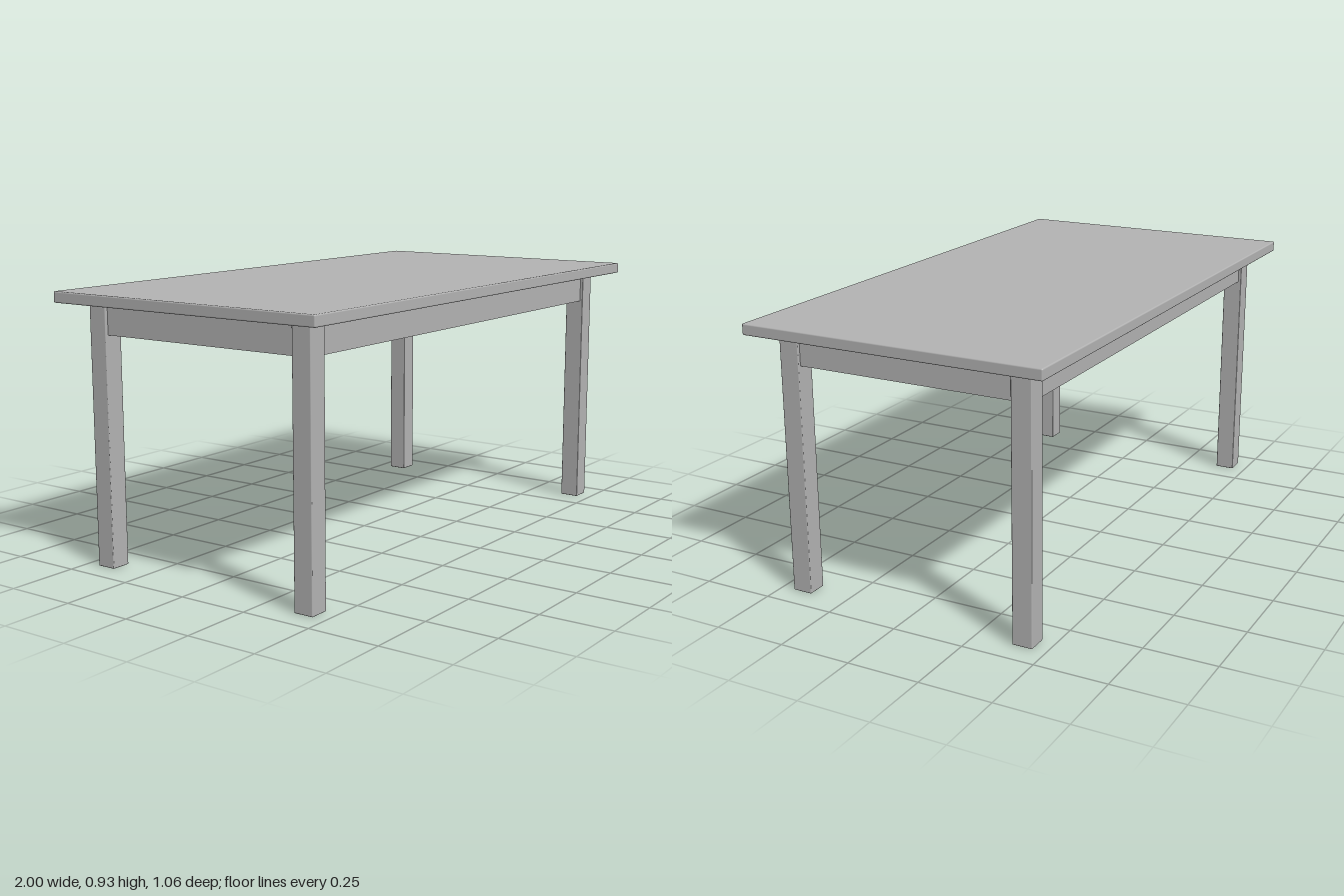
import * as THREE from 'three';
import { RoundedBoxGeometry } from 'three/addons/geometries/RoundedBoxGeometry.js';

export function createModel() {
  const table = new THREE.Group();
  table.name = 'table';
  const grey = new THREE.MeshStandardMaterial({ color: 0xb2b2b2 });
  grey.name = 'grey';

  const add = (name, geometry, x, y, z) => {
    const mesh = new THREE.Mesh(geometry, grey);
    mesh.name = name;
    mesh.position.set(x, y, z);
    table.add(mesh);
  };

  const under = 0.896, topThick = 0.038; // underside height and thickness of the top
  const legX = 0.883, legZ = 0.418, legSize = 0.07;
  const apronHeight = 0.105, apronThick = 0.026, inset = 0.011;

  // Top slab with softened edges
  add('tableTop', new RoundedBoxGeometry(2, topThick, 1.064, 2, 0.005), 0, under + topThick / 2, 0);

  // Four square legs
  const leg = new RoundedBoxGeometry(legSize, under, legSize, 2, 0.003);
  for (const [sx, side] of [[1, 'left'], [-1, 'right']])
    for (const [sz, end] of [[1, 'front'], [-1, 'back']])
      add(`${end}Leg_${side}`, leg, sx * legX, under / 2, sz * legZ);

  // Apron rails between the legs, set back from their outer faces
  const railY = under - apronHeight / 2;
  const offset = legSize / 2 - inset - apronThick / 2;
  const longRail = new THREE.BoxGeometry(2 * legX - legSize, apronHeight, apronThick);
  const shortRail = new THREE.BoxGeometry(apronThick, apronHeight, 2 * legZ - legSize);
  for (const s of [1, -1]) {
    add(s > 0 ? 'frontApron' : 'backApron', longRail, 0, railY, s * (legZ + offset));
    add(s > 0 ? 'leftApron' : 'rightApron', shortRail, s * (legX + offset), railY, 0);
  }
  return table;
}
